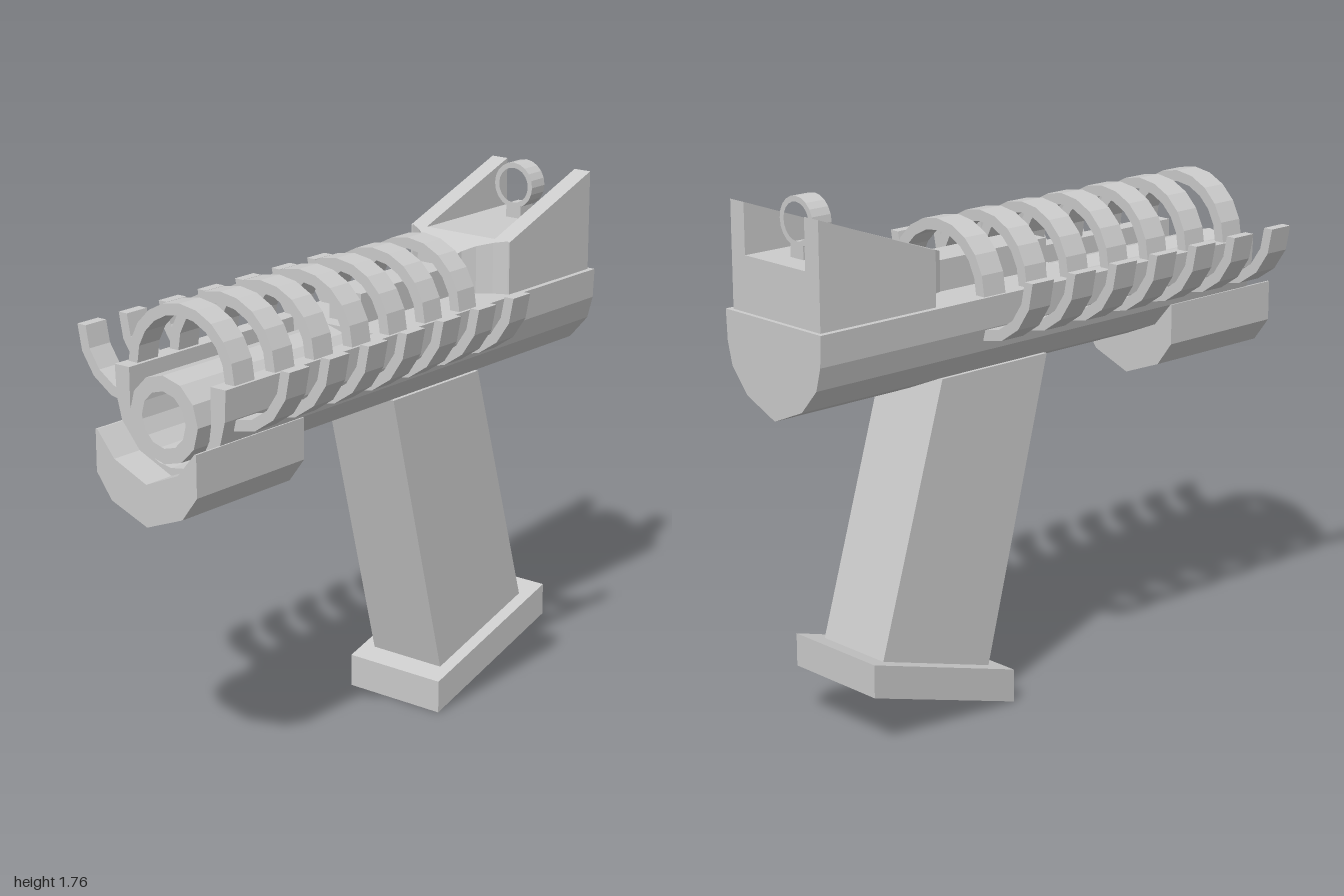
import * as THREE from 'three';

const material = new THREE.MeshStandardMaterial({ color: 0xcccccc, flatShading: true });

function makeShape(points, hole) {
  const shape = new THREE.Shape(points.map(([a, b]) => new THREE.Vector2(a, b)));
  if (hole) shape.holes.push(new THREE.Path(hole.map(([a, b]) => new THREE.Vector2(a, b))));
  return shape;
}

const extrude = (points, depth, hole) =>
  new THREE.ExtrudeGeometry(makeShape(points, hole), { depth, bevelEnabled: false });

// Cross-section in (z, y), swept from x0 to x1
function alongX(points, x0, x1, hole) {
  const flip = (list) => list && list.map(([z, y]) => [-z, y]);
  return extrude(flip(points), x1 - x0, flip(hole)).rotateY(Math.PI / 2).translate(x0, 0, 0);
}

// Side outline in (x, y), swept from z0 to z1
const alongZ = (points, z0, z1) => extrude(points, z1 - z0).translate(0, 0, z0);

// Points on an arc, angles in units of PI
function arc(cx, cy, r, from, to, steps) {
  return Array.from({ length: steps + 1 }, (_, i) => {
    const a = Math.PI * (from + ((to - from) * i) / steps);
    return [cx + r * Math.cos(a), cy + r * Math.sin(a)];
  });
}

const band = (cx, cy, outer, inner, from, to, steps) =>
  [...arc(cx, cy, outer, from, to, steps), ...arc(cx, cy, inner, to, from, steps)];

// Mirror a half profile running from +z to the centre line
const mirrored = (half) =>
  [...half, ...half.slice(0, -1).reverse().map(([z, y]) => [-z, y])];

export function createModel() {
  const group = new THREE.Group();
  const add = (name, geometry) => {
    const mesh = new THREE.Mesh(geometry, material);
    mesh.name = name;
    group.add(mesh);
    return mesh;
  };

  // Round-bottomed body: solid rear, open trough at the front end
  const hull = mirrored([[0.225, 1.39], [0.22, 1.29], [0.2, 1.215], [0.13, 1.135], [0, 1.08]]);
  const trough = [[-0.165, 1.39], ...arc(0, 1.27, 0.165, 1, 2, 10), [0.165, 1.39]];
  add('bodyRear', alongX(hull, -0.13, 1));
  add('bodyTrough', alongX([...hull, ...trough], -0.89, -0.13));

  // Hollow barrel lying in the trough
  add('barrel', alongX(
    arc(-0.027, 1.25, 0.139, 0, 2, 12).slice(0, -1), -0.89, -0.13,
    arc(-0.027, 1.25, 0.09, 0, 2, 12).slice(0, -1)));

  // Crescent cradle under the muzzle
  const cradleOuter = mirrored([[0.205, 1.215], [0.205, 1.08], [0.145, 1.0], [0, 0.945]]);
  const cradleInner = mirrored([[0.198, 1.215], [0.13, 1.135], [0, 1.08]]).reverse();
  add('muzzleCradle', alongX([...cradleOuter, ...cradleInner], -1, -0.515));

  // Hoops over the top with curved prongs at both sides
  for (let i = 0; i < 7; i++) {
    const x0 = -0.84 + i * 0.1815;
    const x1 = x0 + 0.09;
    add('hoop', alongX(band(0, 1.39, 0.215, 0.178, 0, 1, 10), x0, x1));
    add('leftProng', alongX(band(0.21, 1.47, 0.22, 0.185, -0.5, 0, 4), x0, x1));
    add('rightProng', alongX(band(-0.21, 1.47, 0.22, 0.185, 1, 1.5, 4), x0, x1));
  }

  // Narrow top rail
  add('topRail', alongZ([[-0.07, 1.38], [0.4, 1.38], [0.4, 1.49], [-0.07, 1.49]], -0.066, 0.066));

  // Flared front of the rear sight, its top sloping up with x
  const slope = (x) => 1.52 + (x - 0.39) * 0.356;
  const flare = mirrored([[0.2, 0.53], [0.155, 0.508], [0.11, 0.475], [0.08, 0.435], [0.068, 0.39], [0, 0.39]])
    .map(([z, x]) => [x, z]);
  const flareGeometry = extrude(flare, 1).rotateX(-Math.PI / 2);
  const p = flareGeometry.attributes.position;
  for (let i = 0; i < p.count; i++) {
    p.setY(i, p.getY(i) > 0.5 ? slope(p.getX(i)) : 1.38);
  }
  flareGeometry.computeVertexNormals();
  add('sightFlare', flareGeometry);

  // Sight floor and the two rising walls
  add('sightFloor', alongZ([[0.53, 1.38], [0.985, 1.38], [0.985, 1.567], [0.53, 1.567]], -0.206, 0.206));
  const wall = [[0.53, 1.567], [0.985, 1.567], [0.985, 1.73]];
  add('leftSightWall', alongZ(wall, 0.142, 0.206));
  add('rightSightWall', alongZ(wall, -0.206, -0.142));

  // Ring sight on a short post
  add('sightPost', new THREE.BoxGeometry(0.07, 0.05, 0.06).translate(0.865, 1.588, 0));
  add('sightRing', alongX(
    arc(0, 1.68, 0.078, 0, 2, 20).slice(0, -1), 0.828, 0.9,
    arc(0, 1.68, 0.06, 0, 2, 20).slice(0, -1)));

  // Slanted grip and its base plate
  add('grip', alongZ([[0.26, 0.13], [0.71, 0.26], [0.45, 1.135], [0, 1.135]], -0.143, 0.143));
  add('gripBase', alongZ([[0.19, 0], [0.785, 0.18], [0.785, 0.29], [0.19, 0.112]], -0.19, 0.19));

  return group;
}
